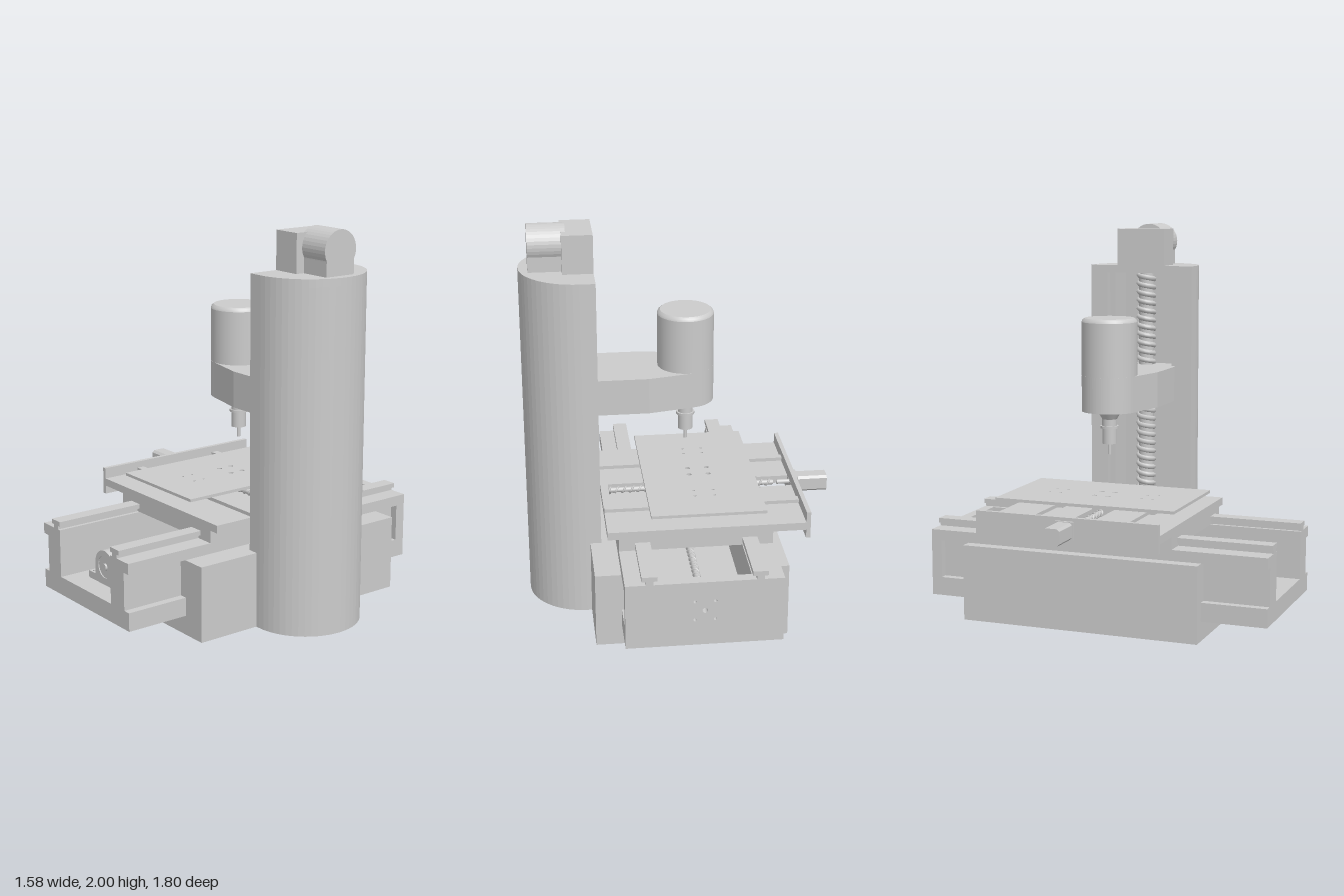
import * as THREE from 'three';

const CX = -0.043, CZ = -0.0625; // spindle / screw axes

export function createModel() {
  const root = new THREE.Group();
  const mat = new THREE.MeshStandardMaterial({ color: 0xcccccc });

  const add = (name, geo) => {
    const m = new THREE.Mesh(geo, mat);
    m.name = name;
    root.add(m);
    return m;
  };
  // box from its limits
  const box = (name, x0, x1, y0, y1, z0, z1) =>
    add(name, new THREE.BoxGeometry(x1 - x0, y1 - y0, z1 - z0)
      .translate((x0 + x1) / 2, (y0 + y1) / 2, (z0 + z1) / 2));
  const poly = (pts) => new THREE.Shape(pts.map(([x, y]) => new THREE.Vector2(x, y)));
  const rect = (x0, x1, y0, y1) => poly([[x0, y0], [x1, y0], [x1, y1], [x0, y1]]);
  const drill = (shape, x, y, r) => {
    const h = new THREE.Path();
    h.absarc(x, y, r, 0, Math.PI * 2, true);
    shape.holes.push(h);
  };
  const extrude = (shape, depth, seg = 12) =>
    new THREE.ExtrudeGeometry(shape, { depth, bevelEnabled: false, curveSegments: seg });
  // profile (x, y) run along z, (x, z) run along y, (z, y) run along x
  const alongZ = (name, s, z0, z1, seg) => add(name, extrude(s, z1 - z0, seg).translate(0, 0, z0));
  const alongY = (name, s, y0, y1, seg) => add(name, extrude(s, y1 - y0, seg).rotateX(Math.PI / 2).translate(0, y1, 0));
  const alongX = (name, s, x0, x1, seg) => add(name, extrude(s, x1 - x0, seg).rotateY(-Math.PI / 2).translate(x1, 0, 0));
  const teeRail = (c, y0, y1, w) => {
    const ym = y0 + (y1 - y0) * 0.45, n = w * 0.5;
    return poly([[c - n, y0], [c + n, y0], [c + n, ym], [c + w, ym], [c + w, y1], [c - w, y1], [c - w, ym], [c - n, ym]]);
  };
  // threaded screw standing on y, turned to the wanted axis afterwards
  const screw = (name, len, r, wire, pitch) => {
    const g = new THREE.Group();
    g.name = name;
    const turns = len / pitch;
    class Helix extends THREE.Curve {
      getPoint(t, v = new THREE.Vector3()) {
        const a = t * turns * Math.PI * 2;
        return v.set(Math.cos(a) * (r - wire), t * len, Math.sin(a) * (r - wire));
      }
    }
    const thread = new THREE.Mesh(new THREE.TubeGeometry(new Helix(), Math.ceil(turns * 18), wire, 6), mat);
    thread.name = name + 'Thread';
    const core = new THREE.Mesh(new THREE.CylinderGeometry(r - wire, r - wire, len, 16).translate(0, len / 2, 0), mat);
    core.name = name + 'Core';
    g.add(thread, core);
    root.add(g);
    return g;
  };
  const rod = (name, r, len, axis, x, y, z) => {
    const g = new THREE.CylinderGeometry(r, r, len, 24);
    if (axis === 'x') g.rotateZ(Math.PI / 2);
    if (axis === 'z') g.rotateX(Math.PI / 2);
    return add(name, g.translate(x, y, z));
  };

  // base trough that grips the bed
  alongZ('base', poly([[-0.49, 0], [0.475, 0], [0.475, 0.39], [0.305, 0.39], [0.305, 0.195], [0.345, 0.195],
    [0.345, 0.1], [-0.43, 0.1], [-0.43, 0.195], [-0.39, 0.195], [-0.39, 0.39], [-0.49, 0.39]]), -0.69, 0.565);

  // long bed with side grooves, end plate and rails
  alongZ('bed', poly([[-0.43, 0.1], [0.345, 0.1], [0.345, 0.195], [0.305, 0.195], [0.305, 0.39], [0.345, 0.39],
    [0.345, 0.445], [0.188, 0.445], [0.188, 0.195], [-0.275, 0.195], [-0.275, 0.445], [-0.43, 0.445],
    [-0.43, 0.39], [-0.39, 0.39], [-0.39, 0.195], [-0.43, 0.195]]), -0.845, 0.9);
  const end = rect(-0.43, 0.345, 0.1, 0.445);
  drill(end, CX, 0.29, 0.014);
  for (const sx of [-1, 1]) for (const sy of [-1, 1]) drill(end, CX + sx * 0.05, 0.29 + sy * 0.05, 0.008);
  alongZ('bedEndPlate', end, -0.9, -0.845);
  for (const x of [-0.312, 0.227]) alongZ('bedRail', teeRail(x, 0.445, 0.488, 0.038), -0.9, 0.9);

  // bed screw, bearing block and nut bracket
  const bedScrew = screw('bedScrew', 1.42, 0.021, 0.006, 0.04);
  bedScrew.rotation.x = Math.PI / 2;
  bedScrew.position.set(CX, 0.29, -0.71);
  rod('bedScrewCoupling', 0.02, 0.06, 'z', CX, 0.29, -0.8);
  rod('bedScrewEnd', 0.014, 0.14, 'z', CX, 0.29, -0.77);
  const bearing = poly([[-0.19, 0.195], [0.105, 0.195], [0.105, 0.232], [CX + 0.086, 0.232]]);
  bearing.lineTo(CX + 0.086, 0.29);
  bearing.absarc(CX, 0.29, 0.086, 0, Math.PI, false);
  bearing.lineTo(CX - 0.086, 0.232);
  bearing.lineTo(-0.19, 0.232);
  drill(bearing, CX, 0.29, 0.058);
  alongZ('bearingBlock', bearing, 0.71, 0.785);
  const ring = new THREE.Shape().absarc(CX, 0.29, 0.058, 0, Math.PI * 2, false);
  drill(ring, CX, 0.29, 0.019);
  alongZ('bearing', ring, 0.72, 0.78, 24);
  rod('bedScrewTip', 0.018, 0.09, 'z', CX, 0.29, 0.745);
  for (const x of [-0.165, 0.08]) for (const z of [0.728, 0.766])
    rod('bearingBolt', 0.009, 0.006, 'y', x, 0.234, z);
  for (const x of [-0.163, 0.078]) for (const z of [-0.72, -0.68])
    rod('bedBolt', 0.008, 0.004, 'y', x, 0.196, z);
  const bracket = poly([[-0.17, 0.445], [-0.17, 0.412], [-0.112, 0.412], [-0.112, 0.29]]);
  bracket.absarc(CX, 0.29, 0.069, Math.PI, Math.PI * 2, false);
  [[0.026, 0.412], [0.085, 0.412], [0.085, 0.445]].forEach(([x, y]) => bracket.lineTo(x, y));
  alongZ('nutBracket', bracket, CZ - 0.07, CZ + 0.07);

  // saddle riding on the bed rails
  box('saddle', -0.43, 0.345, 0.445, 0.51, -0.55, 0.413);

  // cross slide with a slot for its screw
  const slide = rect(-0.6, 0.4, -0.55, 0.413);
  slide.holes.push(new THREE.Path([[-0.597, -0.125], [-0.597, -0.01], [0.36, -0.01], [0.36, -0.125]]
    .map(([x, y]) => new THREE.Vector2(x, y))));
  alongY('crossSlide', slide, 0.51, 0.55);
  for (const z of [-0.32, 0.185]) {
    alongX('crossRail', teeRail(z, 0.55, 0.573, 0.02), -0.6, 0.4);
    box('tableRunner', -0.165, -0.055, 0.552, 0.615, z - 0.045, z + 0.045);
  }
  box('tableNut', -0.165, -0.055, 0.52, 0.615, CZ - 0.05, CZ + 0.05);
  box('crossEndPlate', -0.62, -0.598, 0.465, 0.607, -0.55, 0.413);
  const crossScrew = screw('crossScrew', 0.87, 0.019, 0.006, 0.04);
  crossScrew.rotation.z = -Math.PI / 2;
  crossScrew.position.set(-0.51, 0.543, CZ);
  rod('crossScrewShaft', 0.012, 0.09, 'x', -0.575, 0.543, CZ);
  for (const z of [-0.134, -0.002]) rod('slotBolt', 0.007, 0.005, 'y', -0.425, 0.551, z);

  // cross slide motor
  box('motorFlange', -0.635, -0.62, 0.5, 0.59, -0.118, -0.022);
  const c = 0.012, a = -0.113, b = -0.027, lo = 0.502, hi = 0.587;
  alongX('crossMotor', poly([[a + c, lo], [b - c, lo], [b, lo + c], [b, hi - c], [b - c, hi], [a + c, hi],
    [a, hi - c], [a, lo + c]]), -0.79, -0.635);

  // work table with bolt holes
  const table = rect(-0.398, 0.182, -0.55, 0.413);
  for (const x of [-0.16, -0.06]) {
    for (const z of [-0.35, -0.29, 0.155, 0.215]) drill(table, x, z, 0.007);
    for (const z of [-0.1, -0.025]) drill(table, x, z, 0.013);
  }
  alongY('workTable', table, 0.615, 0.63);

  // half-round column, hollow toward the spindle
  const R = 0.2875, X0 = 0.42, XC = 0.4975;
  const outline = () => {
    const s = new THREE.Shape();
    s.moveTo(X0, CZ - R);
    s.lineTo(XC, CZ - R);
    s.absarc(XC, CZ, R, -Math.PI / 2, Math.PI / 2, false);
    s.lineTo(X0, CZ + R);
    return s;
  };
  const hollow = outline();
  [[X0, 0.13], [0.46, 0.13], [0.46, 0.1], [0.62, 0.1], [0.62, -0.225], [0.46, -0.225], [0.46, -0.255], [X0, -0.255]]
    .forEach(([x, z]) => hollow.lineTo(x, z));
  alongY('columnFoot', outline(), 0, 0.39, 14);
  alongY('column', hollow, 0.39, 1.74, 14);
  alongY('columnCap', outline(), 1.74, 1.78, 14);
  screw('columnScrew', 1.35, 0.055, 0.014, 0.045).position.set(0.51, 0.39, CZ);

  // column drive
  box('driveHousing', 0.42, 0.572, 1.78, 1.975, -0.197, 0.068);
  const motor = new THREE.Shape();
  motor.moveTo(CZ - 0.085, 1.78);
  motor.lineTo(CZ + 0.085, 1.78);
  motor.lineTo(CZ + 0.085, 1.852);
  motor.absarc(CZ, 1.903, 0.097, -0.5, Math.PI + 0.5, false);
  motor.lineTo(CZ - 0.085, 1.78);
  alongX('driveMotor', motor, 0.55, 0.737);

  // spindle arm, tapering onto the head
  const arm = new THREE.Shape();
  const r = 0.143, t = 1.82;
  arm.moveTo(0.575, 0.098);
  [[0.458, 0.098], [0.458, 0.127], [0.16, 0.127]].forEach(([x, z]) => arm.lineTo(x, z));
  arm.absarc(CX, CZ, r, t, Math.PI * 2 - t, false);
  [[0.16, -0.252], [0.458, -0.252], [0.458, -0.223], [0.575, -0.223]].forEach(([x, z]) => arm.lineTo(x, z));
  alongY('spindleArm', arm, 1.055, 1.24, 20);

  // spindle motor, nose and cutter
  const turned = (name, pts) => add(name, new THREE.LatheGeometry(pts.map(([x, y]) => new THREE.Vector2(x, y)), 32)
    .translate(CX, 0, CZ));
  turned('spindleMotor', [[0, 1.06], [r, 1.06], [r, 1.06], [r, 1.515], [r, 1.515], [r - 0.004, 1.526],
    [r - 0.015, 1.535], [r - 0.015, 1.535], [0, 1.535]]);
  turned('spindleNose', [[0, 0.885], [0.038, 0.885], [0.038, 0.885], [0.038, 0.965], [0.038, 0.965], [0.047, 0.965],
    [0.047, 0.965], [0.047, 0.978], [0.047, 0.978], [0.038, 0.978], [0.038, 0.978], [0.038, 1.013], [0.038, 1.013],
    [0.065, 1.056]]);
  rod('cutter', 0.009, 0.06, 'y', CX, 0.858, CZ);

  return root;
}
